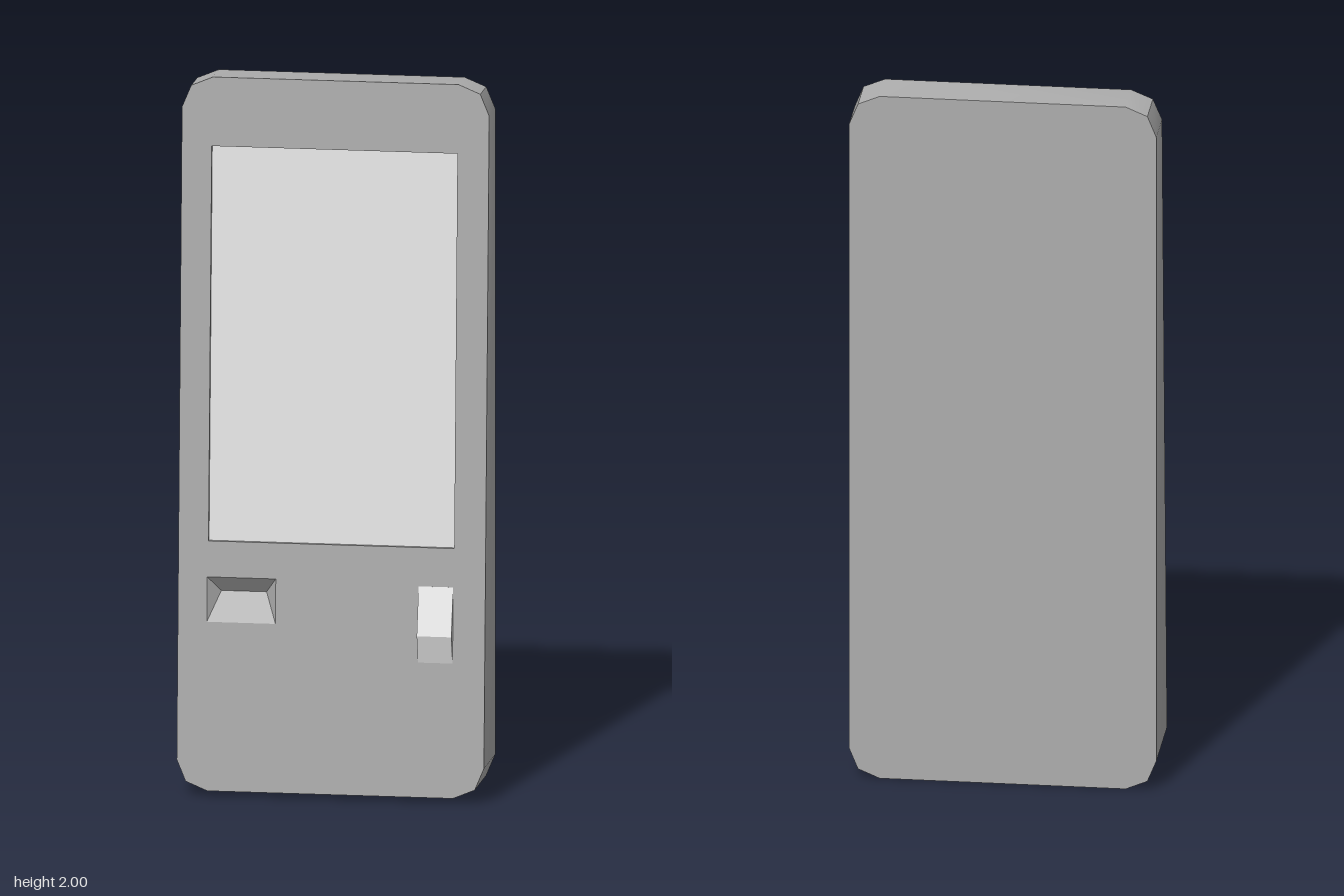
import * as THREE from 'three';
import { toCreasedNormals } from 'three/addons/utils/BufferGeometryUtils.js';

const BACK_Z = -0.12;
const SLOPE = 0.06; // the front panel leans back as it rises
const frontZ = (y) => 0.12 - SLOPE * y;
const onFront = ([x, y], depth = 0) => [x, y - SLOPE * depth, frontZ(y) - depth];

// Rectangle corners, counter-clockwise seen from the front
const rect = (x0, x1, y0, y1) => [[x0, y0], [x1, y0], [x1, y1], [x0, y1]];

const toPoints = (loop) => loop.map(([x, y]) => new THREE.Vector2(x, y));

// Band of quads between two closed loops of equal length
function band(a, b) {
  const p = [];
  a.forEach((v, i) => {
    const j = (i + 1) % a.length;
    p.push(...v, ...b[i], ...b[j], ...v, ...b[j], ...a[j]);
  });
  const g = new THREE.BufferGeometry();
  g.setAttribute('position', new THREE.Float32BufferAttribute(p, 3));
  g.computeVertexNormals();
  return g;
}

// Flat panel lying on the sloping front, sunk by depth
function panel(loop, depth = 0, holes = []) {
  const shape = new THREE.Shape(toPoints(loop));
  holes.forEach((h) => shape.holes.push(new THREE.Path(toPoints(h))));
  const g = new THREE.ShapeGeometry(shape);
  const pos = g.attributes.position;
  for (let i = 0; i < pos.count; i++) {
    pos.setXYZ(i, ...onFront([pos.getX(i), pos.getY(i)], depth));
  }
  g.computeVertexNormals();
  return g;
}

export function createModel() {
  const group = new THREE.Group();
  group.name = 'kiosk';

  const casing = new THREE.MeshStandardMaterial({ color: 0xadadad });
  casing.name = 'casing grey';
  const light = new THREE.MeshStandardMaterial({ color: 0xe6e6e6 });
  light.name = 'light grey';

  const add = (name, geometry, material) => {
    const mesh = new THREE.Mesh(geometry, material);
    mesh.name = name;
    group.add(mesh);
    return mesh;
  };

  // Casing outline with two-step rounded corners
  const X = 0.425, Y0 = 0.015, Y1 = 2, R = 0.085, C = 0.025;
  const outline = [
    [-X + R, Y0], [X - R, Y0], [X - C, Y0 + C], [X, Y0 + R],
    [X, Y1 - R], [X - C, Y1 - C], [X - R, Y1], [-X + R, Y1],
    [-X + C, Y1 - C], [-X, Y1 - R], [-X, Y0 + R], [-X + C, Y0 + C],
  ];
  const backOutline = outline.map(([x, y]) => [x, y - SLOPE * (frontZ(y) - BACK_Z)]);
  const screenRect = rect(-0.342, 0.338, 0.71, 1.808);
  const slotRect = rect(-0.345, -0.155, 0.485, 0.61);

  add('frontPanel', panel(outline, 0, [screenRect, slotRect]), casing);
  const sides = band(outline.map((p) => onFront(p)), backOutline.map(([x, y]) => [x, y, BACK_Z]));
  add('casingSides', toCreasedNormals(sides, 0.6), casing);
  const back = new THREE.ShapeGeometry(new THREE.Shape(toPoints(backOutline)));
  add('backPanel', back.rotateY(Math.PI).translate(0, 0, BACK_Z), casing);

  // Sunken screen and its frame walls
  const screenDepth = 0.012;
  const screenLoop = [...screenRect].reverse();
  add('screenFrame', band(
    screenLoop.map((p) => onFront(p)),
    screenLoop.map((p) => onFront(p, screenDepth)),
  ), casing);
  add('screen', panel(screenRect, screenDepth), light);

  // Wedge-shaped tray whose faces meet along an inner ridge
  const innerLeft = [-0.31, 0.565, 0.05], innerRight = [-0.185, 0.565, 0.05];
  add('tray', band(
    [...slotRect].reverse().map((p) => onFront(p)),
    [innerLeft, innerRight, innerRight, innerLeft],
  ), casing);

  // Card reader: a wedge standing proud of the front, profile in (z, y)
  const profile = new THREE.Shape(toPoints([
    [0.05, 0.39], [frontZ(0.39), 0.39], [0.122, 0.47], [frontZ(0.6), 0.602], [0.05, 0.602],
  ]));
  const reader = new THREE.ExtrudeGeometry(profile, { depth: 0.096, bevelEnabled: false });
  add('cardReader', reader.rotateY(-Math.PI / 2).translate(0.336, 0, 0), light);

  return group;
}
